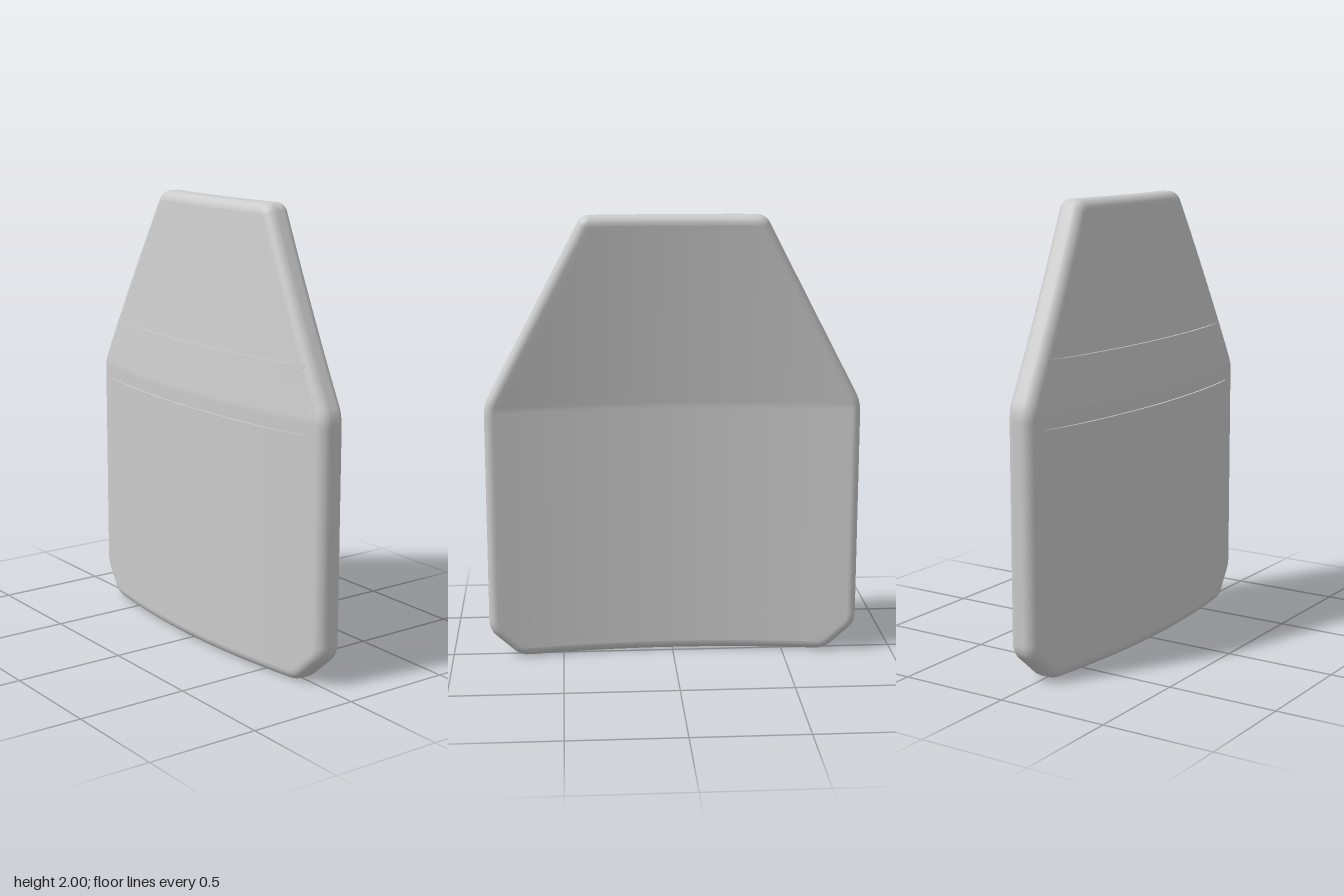
import * as THREE from 'three';
import { mergeVertices, toCreasedNormals } from 'three/addons/utils/BufferGeometryUtils.js';

const HALF = 0.06;      // half thickness of the plate
const ROUND = 0.042;    // edge rounding
const COLS = 32;
const BEND_Y = 1.15;    // above this the plate leans toward +x

// Flat plate coordinates -> curved and leaning plate
const bend = (x, y, z) => [
  x - 0.06 + 0.087 * (z / 0.83) ** 2 + Math.max(0, y - BEND_Y) * 0.106 / 0.85, y, z];

// Right half of the outline from bottom to top, with rounded corners
function halfOutline() {
  // z, y, corner radius
  const P = [[0, 0], [0.695, 0, 0.1], [0.834, 0.135, 0.1], [0.834, 1.168, 0.18], [0.397, 2, 0.06], [0, 2]];
  const out = [];
  for (let i = 1; i < P.length - 1; i++) {
    const [z, y, r] = P[i];
    const a0 = Math.atan2(y - P[i - 1][1], z - P[i - 1][0]) - Math.PI / 2;
    const a1 = Math.atan2(P[i + 1][1] - y, P[i + 1][0] - z) - Math.PI / 2;
    const reach = r / Math.cos((a1 - a0) / 2), mid = (a0 + a1) / 2;
    const cz = z - reach * Math.cos(mid), cy = y - reach * Math.sin(mid);
    const arc = [];
    for (let k = 0; k <= 5; k++) {
      const a = a0 + (a1 - a0) * k / 5, nz = Math.cos(a), ny = Math.sin(a);
      arc.push({ z: cz + r * nz, y: cy + r * ny, nz, ny });
    }
    // points along the straight side leading to this corner
    if (out.length) {
      const s = out[out.length - 1], e = arc[0];
      for (let k = 1; k < 12; k++) {
        out.push({ ...e, z: s.z + (e.z - s.z) * k / 12, y: s.y + (e.y - s.y) * k / 12 });
      }
    }
    out.push(...arc);
  }
  return out;
}

function plateGeometry() {
  const pos = [], index = [];
  const side = halfOutline();
  const add = (x, y, z) => pos.push(...bend(x, y, z)) / 3 - 1;
  const quad = (a, b, c, d) => index.push(a, b, c, a, c, d);

  // Broad faces, as rows running from edge to edge
  for (const s of [1, -1]) {
    const rows = side.map(p => Array.from({ length: COLS + 1 }, (_, c) =>
      add(s * HALF, p.y - ROUND * p.ny, s * (p.z - ROUND * p.nz) * (1 - 2 * c / COLS))));
    for (let r = 0; r < rows.length - 1; r++) {
      for (let c = 0; c < COLS; c++) {
        quad(rows[r][c], rows[r][c + 1], rows[r + 1][c + 1], rows[r + 1][c]);
      }
    }
  }

  // Rounded rim, swept around the whole outline
  const first = side[0], last = side[side.length - 1];
  const straight = p => Array.from({ length: COLS - 1 }, (_, c) => (
    { z: (p.z - ROUND * p.nz) * (1 - 2 * (c + 1) / COLS), y: p.y, nz: 0, ny: p.ny }));
  const left = side.map(p => ({ ...p, z: -p.z, nz: -p.nz })).reverse();
  const loop = [...side, ...straight(last), ...left, ...straight(first).reverse()];
  const profile = [];
  for (const s of [1, -1]) {
    for (let k = 0; k <= 6; k++) {
      const a = (s > 0 ? k : 6 - k) / 6 * Math.PI / 2;
      profile.push([s * (HALF - ROUND + ROUND * Math.cos(a)), ROUND * (Math.sin(a) - 1)]);
    }
  }
  const rings = profile.map(([x, d]) => loop.map(p => add(x, p.y + d * p.ny, p.z + d * p.nz)));
  for (let r = 0; r < rings.length - 1; r++) {
    for (let i = 0; i < loop.length; i++) {
      const j = (i + 1) % loop.length;
      quad(rings[r][i], rings[r][j], rings[r + 1][j], rings[r + 1][i]);
    }
  }

  const g = new THREE.BufferGeometry();
  g.setAttribute('position', new THREE.Float32BufferAttribute(pos, 3));
  g.setIndex(index);
  const merged = mergeVertices(g, 1e-5);
  merged.computeVertexNormals();
  return merged;
}

// Thin band lying across the convex face, sinking into it at both ends
function bandGeometry(y, length) {
  const g = new THREE.BoxGeometry(0.03, 0.068, length, 1, 1, COLS);
  g.translate(-HALF + 0.005, y, 0);
  const p = g.attributes.position;
  for (let i = 0; i < p.count; i++) {
    const z = p.getZ(i), sink = 0.011 * (2 * z / length) ** 8;
    p.setXYZ(i, ...bend(p.getX(i) + sink, p.getY(i), z));
  }
  return toCreasedNormals(g, 0.6);
}

export function createModel() {
  const group = new THREE.Group();
  group.name = 'curvedPlate';
  const material = new THREE.MeshStandardMaterial({ color: 0xcccccc });
  const part = (name, geometry) => {
    const mesh = new THREE.Mesh(geometry, material);
    mesh.name = name;
    group.add(mesh);
  };
  part('plate', plateGeometry());
  part('lowerBand', bandGeometry(1.052, 1.57));
  part('upperBand', bandGeometry(1.333, 1.4));
  return group;
}
